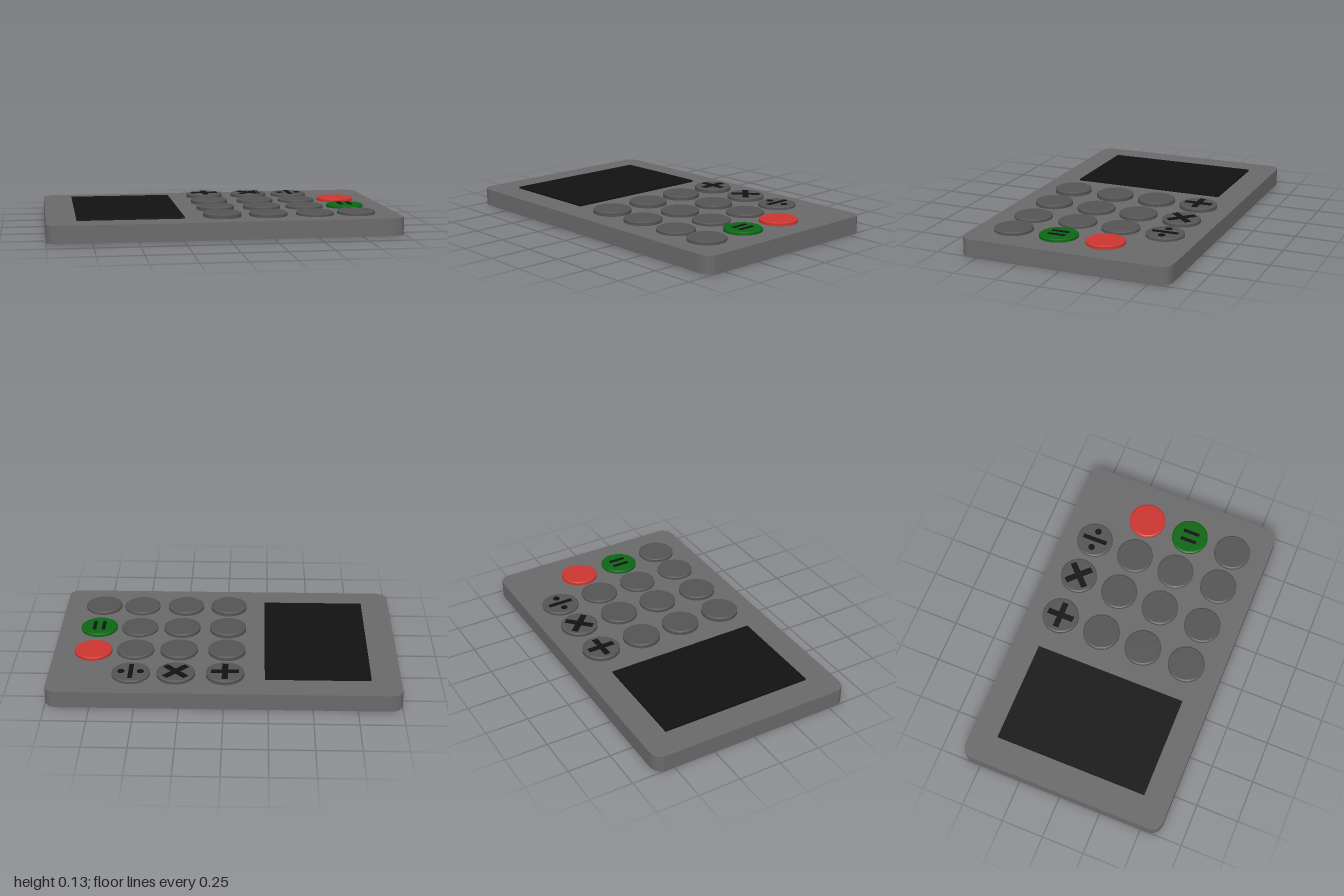
import * as THREE from 'three';

const BODY_TOP = 0.1;
const paint = (color) => new THREE.MeshStandardMaterial({ color });

function addMesh(parent, name, geometry, material, x, y, z) {
  const mesh = new THREE.Mesh(geometry, material);
  mesh.name = name;
  mesh.position.set(x, y, z);
  parent.add(mesh);
  return mesh;
}

// Slab outline with softly rounded corners, longer along x than along z
function slabGeometry(hx, hz, cx, cz, height) {
  const s = new THREE.Shape();
  s.moveTo(-hx + cx, -hz);
  s.lineTo(hx - cx, -hz);
  s.quadraticCurveTo(hx - cx * 0.2, -hz, hx, -hz + cz);
  s.lineTo(hx, hz - cz);
  s.quadraticCurveTo(hx - cx * 0.2, hz, hx - cx, hz);
  s.lineTo(-hx + cx, hz);
  s.quadraticCurveTo(-hx + cx * 0.2, hz, -hx, hz - cz);
  s.lineTo(-hx, -hz + cz);
  s.quadraticCurveTo(-hx + cx * 0.2, -hz, -hx + cx, -hz);
  const g = new THREE.ExtrudeGeometry(s, { depth: height, bevelEnabled: false, curveSegments: 6 });
  return g.rotateX(-Math.PI / 2);
}

// Round key: straight skirt and a narrow chamfer around the flat top
function keyGeometry(radius, height) {
  const profile = [[radius, 0], [radius, height - 0.005], [radius - 0.008, height], [0, height]];
  const g = new THREE.LatheGeometry(profile.map(([r, y]) => new THREE.Vector2(r, y)), 40);
  return g;
}

export function createModel() {
  const group = new THREE.Group();
  group.name = 'calculator';
  const bodyPaint = paint(0x6a6a6a);
  const keyPaint = paint(0x545454);
  const blackPaint = paint(0x121212);
  const redPaint = paint(0xcc3530);
  const greenPaint = paint(0x0d6614);

  // Case and screen
  addMesh(group, 'body', slabGeometry(1, 0.612, 0.08, 0.05, BODY_TOP), bodyPaint, 0, 0, 0);
  addMesh(group, 'screen', new THREE.BoxGeometry(0.6, 0.02, 0.91), blackPaint, -0.53, BODY_TOP, 0);

  // Raised operator marks: bars as [dx, dz, length along x, length along z, turn], dots as [dx, dz]
  const marks = {
    plus: { bars: [[0, 0, 0.16, 0.034, 0], [0, 0, 0.034, 0.16, 0]] },
    times: { bars: [[0, 0, 0.17, 0.036, Math.PI / 4], [0, 0, 0.17, 0.036, -Math.PI / 4]] },
    divide: { bars: [[0, 0, 0.026, 0.15, 0]], dots: [[-0.055, 0], [0.055, 0]] },
    equals: { bars: [[-0.027, 0, 0.02, 0.1, 0], [0.027, 0, 0.02, 0.1, 0]] },
  };

  // Keys as [x, z, height, material, mark]
  const keys = [
    [-0.005, -0.41, 0.025, keyPaint, 'plus'],
    [0.275, -0.41, 0.022, keyPaint, 'times'],
    [0.53, -0.41, 0.018, keyPaint, 'divide'],
    [-0.01, -0.145, 0.025, keyPaint],
    [0.27, -0.145, 0.022, keyPaint],
    [0.525, -0.145, 0.018, keyPaint],
    [0.77, -0.16, 0.02, redPaint],
    [-0.01, 0.12, 0.025, keyPaint],
    [0.265, 0.12, 0.022, keyPaint],
    [0.52, 0.12, 0.018, keyPaint],
    [0.765, 0.12, 0.018, greenPaint, 'equals'],
    [-0.01, 0.395, 0.025, keyPaint],
    [0.255, 0.395, 0.022, keyPaint],
    [0.525, 0.395, 0.018, keyPaint],
    [0.765, 0.395, 0.02, keyPaint],
  ];

  for (const [x, z, height, material, mark] of keys) {
    const key = new THREE.Group();
    key.name = mark ? mark + 'Key' : 'key';
    key.position.set(x, BODY_TOP, z);
    group.add(key);
    // Unshared normals keep the rim crisp
    const cap = keyGeometry(0.109, height).toNonIndexed();
    cap.computeVertexNormals();
    addMesh(key, 'keyCap', cap, material, 0, 0, 0);
    if (!mark) continue;
    for (const [dx, dz, lx, lz, turn] of marks[mark].bars) {
      addMesh(key, 'markBar', new THREE.BoxGeometry(lx, 0.006, lz), blackPaint, dx, height, dz).rotation.y = turn;
    }
    for (const [dx, dz] of marks[mark].dots ?? []) {
      addMesh(key, 'markDot', new THREE.CylinderGeometry(0.02, 0.02, 0.006, 16), blackPaint, dx, height, dz);
    }
  }
  return group;
}
